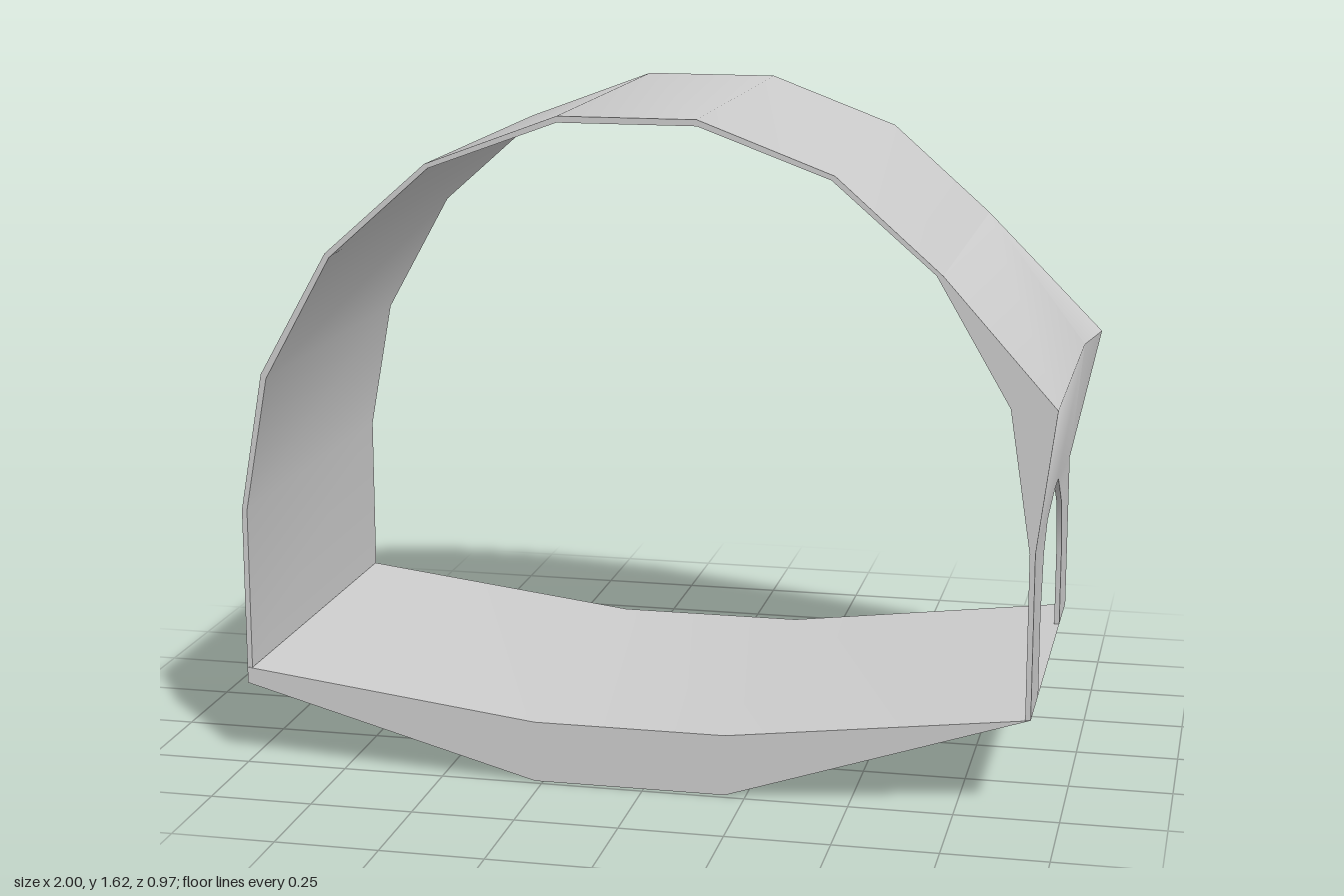
import * as THREE from 'three';
import { mergeGeometries, toCreasedNormals } from 'three/addons/utils/BufferGeometryUtils.js';

const HALF = 0.485; // half depth along z
const material = new THREE.MeshStandardMaterial({ color: 0xcccccc, side: THREE.DoubleSide });

const extrude = (points, depth) => new THREE.ExtrudeGeometry(
  new THREE.Shape(points.map(([x, y]) => new THREE.Vector2(x, y))),
  { depth, bevelEnabled: false });

// Profile in x/y swept through the full depth
const sweep = (points) => extrude(points, HALF * 2).translate(0, 0, -HALF);

// Piecewise-linear lookup of x by height
function xAt(rows, y) {
  let i = 0;
  while (i < rows.length - 2 && y > rows[i + 1][0]) i++;
  const [y0, x0] = rows[i], [y1, x1] = rows[i + 1];
  return x0 + (x1 - x0) * (y - y0) / (y1 - y0);
}

// Doorway wall panel, drawn as (-z, y), bent to the inner and outer wall profiles
function wallPanel(points) {
  const geometry = extrude(points, 1);
  const p = geometry.attributes.position;
  for (let i = 0; i < p.count; i++) {
    const s = p.getX(i), y = p.getY(i), t = p.getZ(i);
    // the shoulder flares outward towards the back
    const flare = 0.03 * Math.max(0, (s - 0.3) / (HALF - 0.3));
    const inner = xAt([[0.24, 0.912], [0.64, 0.912], [0.98, 0.86], [1.28, 0.685]], y);
    const outer = xAt([[0.24, 0.925], [0.64, 0.925], [0.98, 0.968 + flare], [1.28, 0.7]], y);
    p.setXYZ(i, inner + (outer - inner) * t, y, -s);
  }
  return geometry;
}

export function createModel() {
  const group = new THREE.Group();
  const add = (name, geometry, crease) => {
    const mesh = new THREE.Mesh(toCreasedNormals(geometry, crease), material);
    mesh.name = name;
    group.add(mesh);
  };

  // Keel-shaped floor
  add('floor', sweep([
    [-1, 0.2], [-0.27, 0], [0.2, 0], [0.925, 0.24],
    [0.2, 0.15], [-0.27, 0.15], [-1, 0.24],
  ]), 0.4);

  // Thin arch: left wall and roof
  const arch = sweep([
    [-1, 0.24], [-0.987, 0.24], [-0.987, 0.64], [-0.927, 0.97], [-0.76, 1.27], [-0.512, 1.49],
    [-0.2, 1.605], [0.13, 1.605], [0.442, 1.49], [0.685, 1.28],
    [0.7, 1.28], [0.45, 1.5], [0.13, 1.62], [-0.2, 1.62], [-0.52, 1.5],
    [-0.77, 1.28], [-0.94, 0.98], [-1, 0.64],
  ]);

  // Door jamb panels, mirrored either side of the opening
  const jambs = [-1, 1].map((m) => wallPanel([
    [HALF, 0.24], [HALF, 0.64], [0.17, 0.64], [0.25, 0.58], [0.297, 0.44], [0.297, 0.24],
  ].map(([s, y]) => [s * m, y])));

  // Wall above the door, with the rounded top of the opening cut from it
  const lintel = wallPanel([
    [-HALF, 0.64], [-0.17, 0.64], [-0.05, 0.69], [0.05, 0.69], [0.17, 0.64],
    [HALF, 0.64], [HALF, 0.98], [0.3, 0.98], [-HALF, 0.98],
  ]);

  // Sloping shoulder joining the door wall to the roof
  const shoulder = wallPanel([
    [-HALF, 0.98], [0.3, 0.98], [HALF, 0.98], [HALF, 1.28], [-HALF, 1.28],
  ]);

  add('archShellWithDoorway', mergeGeometries([arch, ...jambs, lintel, shoulder]), 0.95);
  return group;
}
